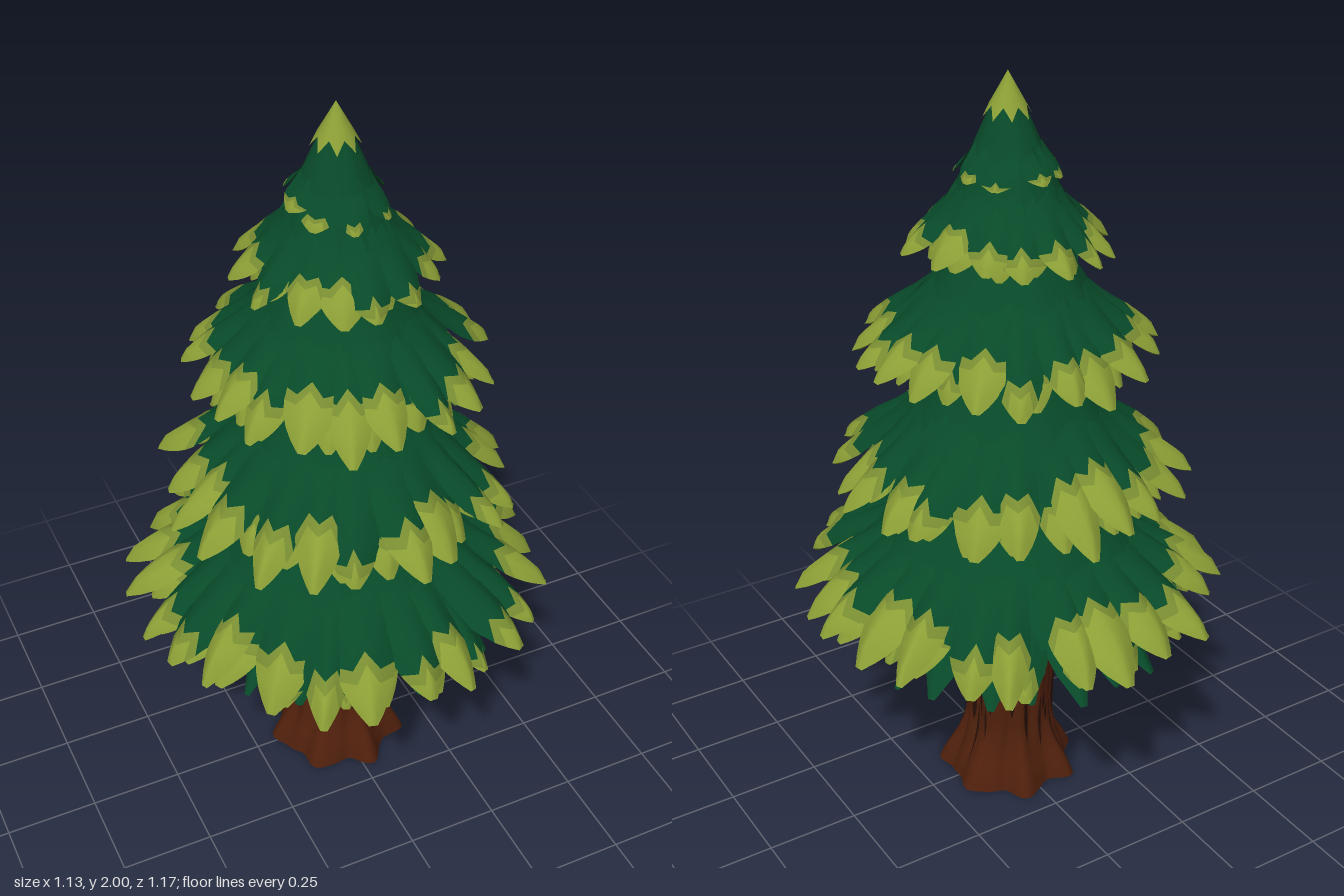
import * as THREE from 'three';
import { mergeGeometries, mergeVertices } from 'three/addons/utils/BufferGeometryUtils.js';

const TAU = Math.PI * 2;
const { lerp, clamp } = THREE.MathUtils;
const V2 = (a) => new THREE.Vector2(a[0], a[1]);

function seeded(seed) {
  let s = seed;
  return () => (s = (s * 16807) % 2147483647) / 2147483647;
}

// Surface from rows and columns; point(u, v) returns [x, y, z]
function grid(rows, cols, point, flip = false) {
  const pos = [], index = [];
  for (let i = 0; i <= rows; i++)
    for (let j = 0; j <= cols; j++) pos.push(...point(i / rows, j / cols));
  for (let i = 0; i < rows; i++)
    for (let j = 0; j < cols; j++) {
      const a = i * (cols + 1) + j, b = a + cols + 1;
      if (flip) index.push(a, a + 1, b, b, a + 1, b + 1);
      else index.push(a, b, a + 1, b, b + 1, a + 1);
    }
  let g = new THREE.BufferGeometry();
  g.setAttribute('position', new THREE.Float32BufferAttribute(pos, 3));
  g.setIndex(index);
  g = mergeVertices(g, 1e-5);
  g.computeVertexNormals();
  return g;
}

const polar = (r, a, y) => [r * Math.sin(a), y, r * Math.cos(a)];

// One blunt-ended bough growing out of the skirt: green root, olive band, lime tip
function addLeaf(parts, o) {
  const path = new THREE.QuadraticBezierCurve(V2(o.root), V2(o.mid), V2(o.tip));
  const ca = Math.cos(o.angle), sa = Math.sin(o.angle);
  const at = (t, v, top) => {
    const p = path.getPoint(t);
    const w = o.width * (t < 0.55 ? lerp(0.8, 1, t / 0.55)
      : 0.15 + 0.85 * (1 - Math.pow((t - 0.55) / 0.45, 1.6)));
    const s = (v * 2 - 1) * w;
    const swell = Math.min(1, t / 0.6) * Math.sqrt(Math.max(0, 1 - t ** 8));
    const y = p.y + (1 - Math.abs(v * 2 - 1) ** 1.8) * o.thick * swell * (top ? 1 : -0.4);
    return [p.x * sa + s * ca, y, p.x * ca - s * sa];
  };
  // Ragged border between colours
  const rag = (v) => (Math.round(v * 4 + o.angle * 5) % 2 ? 0.06 : -0.05);
  const band = (a, b, ra, rb, top = true) => grid(4, 4, (u, v) =>
    at(clamp(lerp(a + ra * rag(v), b + rb * rag(v), u), 0, 1), v, top), !top);
  const c1 = o.split, c2 = Math.min(o.split + 0.1, 0.93);
  if (c1 >= 1) {
    parts.green.push(band(0, 1, 0, 0), band(0, 1, 0, 0, false));
    return;
  }
  parts.green.push(band(0, c1, 0, 1), band(0, c2, 0, 1, false));
  parts.olive.push(band(c1, c2, 1, 1));
  parts.lime.push(band(c2, 1, 1, 0), band(c2, 1, 1, 0, false));
}

// Ring of boughs with varied length, droop and colour border
function addRing(parts, o, rand) {
  for (let i = 0; i < o.count; i++) {
    const k = 0.92 + 0.08 * rand();
    const lift = (rand() - 0.5) * o.jitter;
    const angle = ((i + (o.shift || 0) + (rand() - 0.5) * 0.5) / o.count) * TAU;
    addLeaf(parts, {
      angle,
      root: o.root,
      mid: [o.mid[0], o.mid[1] + lift * 0.5],
      tip: [o.tip[0] * k, o.tip[1] + lift],
      width: (o.tip[0] * Math.PI / o.count) * (0.7 + 0.3 * rand()),
      thick: o.thick,
      split: o.split >= 1 ? 1 : Math.min(0.86, o.split + (rand() - 0.5) * 0.36 + 0.04 * Math.cos(angle)),
    });
  }
}

// Trunk radius with bark ridges and spreading roots
const trunkProfile = [[0, 0.15], [0.04, 0.143], [0.1, 0.125], [0.2, 0.116], [0.38, 0.122], [0.55, 0.108], [0.7, 0.1]];
function trunkRadius(a, y) {
  let i = 0;
  while (i < trunkProfile.length - 2 && y > trunkProfile[i + 1][0]) i++;
  const [y0, r0] = trunkProfile[i], [y1, r1] = trunkProfile[i + 1];
  const root = Math.pow(Math.max(0, 1 - y / 0.15), 0.9);
  return lerp(r0, r1, (y - y0) / (y1 - y0))
    + 0.005 * Math.sin(9 * a + 3 * y) + 0.004 * Math.sin(14 * a - 5 * y)
    + root * (0.026 + 0.018 * Math.sin(7 * a + 0.4));
}

export function createModel() {
  const model = new THREE.Group();
  const mat = (name, color, double) => {
    const m = new THREE.MeshStandardMaterial({ color });
    m.name = name;
    if (double) m.side = THREE.DoubleSide;
    return m;
  };
  const materials = {
    green: mat('deep green', 0x084a29, true),
    lime: mat('lime green', 0x8c9f36, true),
    olive: mat('olive green', 0x798d32, true),
    bark: mat('bark brown', 0x50200c),
    groove: mat('dark groove', 0x260f07, true),
  };
  const addMesh = (parent, name, geometry, material) => {
    const m = new THREE.Mesh(geometry, material);
    m.name = name;
    parent.add(m);
  };

  // Foliage tiers: skirt profile [radius, height] plus rings of boughs
  const tiers = [
    { name: 'bottomTier', squash: 0.965, skirt: [[0.16, 1.02], [0.22, 0.94], [0.31, 0.82], [0.38, 0.735], [0.44, 0.66]],
      rings: [
        { count: 24, root: [0.29, 0.82], mid: [0.45, 0.67], tip: [0.605, 0.595], thick: 0.05, jitter: 0.05, split: 0.58 },
        { count: 22, shift: 0.5, root: [0.29, 0.8], mid: [0.42, 0.64], tip: [0.54, 0.575], thick: 0.045, jitter: 0.03, split: 0.66 },
        { count: 24, shift: 0.25, root: [0.14, 0.68], mid: [0.35, 0.64], tip: [0.49, 0.51], thick: 0.045, jitter: 0.03, split: 1 }] },
    { name: 'lowerMiddleTier', squash: 0.945, skirt: [[0.12, 1.36], [0.175, 1.28], [0.23, 1.18], [0.29, 1.09], [0.35, 1.015]],
      rings: [
        { count: 21, root: [0.22, 1.18], mid: [0.36, 1.0], tip: [0.5, 0.94], thick: 0.045, jitter: 0.045, split: 0.59 },
        { count: 20, shift: 0.5, root: [0.22, 1.15], mid: [0.34, 0.98], tip: [0.43, 0.92], thick: 0.04, jitter: 0.03, split: 0.65 }] },
    { name: 'upperMiddleTier', squash: 0.945, skirt: [[0.1, 1.64], [0.15, 1.56], [0.2, 1.48], [0.25, 1.41], [0.305, 1.345]],
      rings: [
        { count: 19, root: [0.185, 1.49], mid: [0.3, 1.345], tip: [0.43, 1.285], thick: 0.038, jitter: 0.035, split: 0.59 },
        { count: 17, shift: 0.5, root: [0.185, 1.47], mid: [0.29, 1.33], tip: [0.365, 1.268], thick: 0.034, jitter: 0.02, split: 0.65 }] },
    { name: 'topTier', squash: 0.945, skirt: [[0, 1.995], [0.045, 1.91], [0.095, 1.8], [0.145, 1.69], [0.19, 1.62]],
      rings: [
        { count: 14, root: [0.12, 1.73], mid: [0.19, 1.61], tip: [0.285, 1.565], thick: 0.032, jitter: 0.025, split: 0.62 },
        { count: 12, shift: 0.5, root: [0.115, 1.71], mid: [0.18, 1.6], tip: [0.23, 1.555], thick: 0.028, jitter: 0.02, split: 0.68 },
        { count: 8, root: [0.075, 1.83], mid: [0.108, 1.77], tip: [0.15, 1.742], thick: 0.012, jitter: 0.03, split: 0.84 }] },
  ];
  const rand = seeded(4711);
  for (const tier of tiers) {
    const group = new THREE.Group();
    group.name = tier.name;
    group.scale.x = tier.squash;
    const parts = { green: [], olive: [], lime: [] };
    const curve = new THREE.SplineCurve(tier.skirt.map(V2));
    const wave = (a) => 1 + 0.02 * Math.sin(9 * a);
    parts.green.push(grid(8, 36, (u, v) => {
      const p = curve.getPoint(u), a = v * TAU;
      return polar(p.x * wave(a), a, p.y);
    }));
    // Lining that closes the underside
    const [hemR, hemY] = tier.skirt[4];
    parts.green.push(grid(3, 36, (u, v) => {
      const a = v * TAU;
      return polar(lerp(0.11, hemR * wave(a), u), a, hemY + 0.05 * (1 - u * u));
    }, true));
    for (const ring of tier.rings) addRing(parts, ring, rand);
    for (const key in parts) addMesh(group, key + 'Boughs', mergeGeometries(parts[key]), materials[key]);
    model.add(group);
  }

  // Lime crown with a ragged hem
  addMesh(model, 'crownTip', grid(3, 16, (u, v) => {
    const drop = u * (0.08 + (Math.round(v * 16) % 2 ? 0.03 : 0));
    return polar(drop * 0.52 + u * 0.004, v * TAU, 2 - drop);
  }), materials.lime);

  // Collar where the trunk enters the boughs, lime above a ragged green hem
  const hem = (v) => 0.63 + (Math.round(v * 24) % 2 ? 0.015 : -0.01);
  addMesh(model, 'collarTop', grid(2, 24, (u, v) =>
    polar(lerp(0.13, 0.12, u), v * TAU, lerp(0.72, hem(v), u))), materials.lime);
  addMesh(model, 'collarHem', grid(1, 24, (u, v) =>
    polar(lerp(0.12, 0.116, u), v * TAU, lerp(hem(v), 0.59, u))), materials.green);

  // Trunk with roots and closed base
  const trunk = new THREE.Group();
  trunk.name = 'trunk';
  addMesh(trunk, 'trunkBark', grid(22, 84, (u, v) => {
    const y = 0.7 * (1 - u) ** 1.3, a = v * TAU;
    return polar(trunkRadius(a, y), a, y);
  }), materials.bark);
  addMesh(trunk, 'trunkBase', grid(1, 84, (u, v) =>
    polar(u * trunkRadius(v * TAU, 0), v * TAU, 0), true), materials.bark);

  // Thin dark grooves down the bark
  const grooves = [];
  for (let i = 0; i < 50; i++) {
    const a0 = (i * 0.618 % 1) * TAU, y0 = 0.12 + rand() * 0.4;
    const len = 0.06 + rand() * 0.15, half = 0.025 + rand() * 0.03, bend = (rand() - 0.5) * 0.12;
    grooves.push(grid(6, 2, (u, v) => {
      const y = Math.max(0.03, y0 + len * (0.5 - u));
      const a = a0 + bend * u + (v - 0.5) * 2 * half * Math.sin(Math.PI * u);
      return polar(trunkRadius(a, y) + 0.003, a, y);
    }));
  }
  addMesh(trunk, 'barkGrooves', mergeGeometries(grooves), materials.groove);
  model.add(trunk);
  return model;
}
